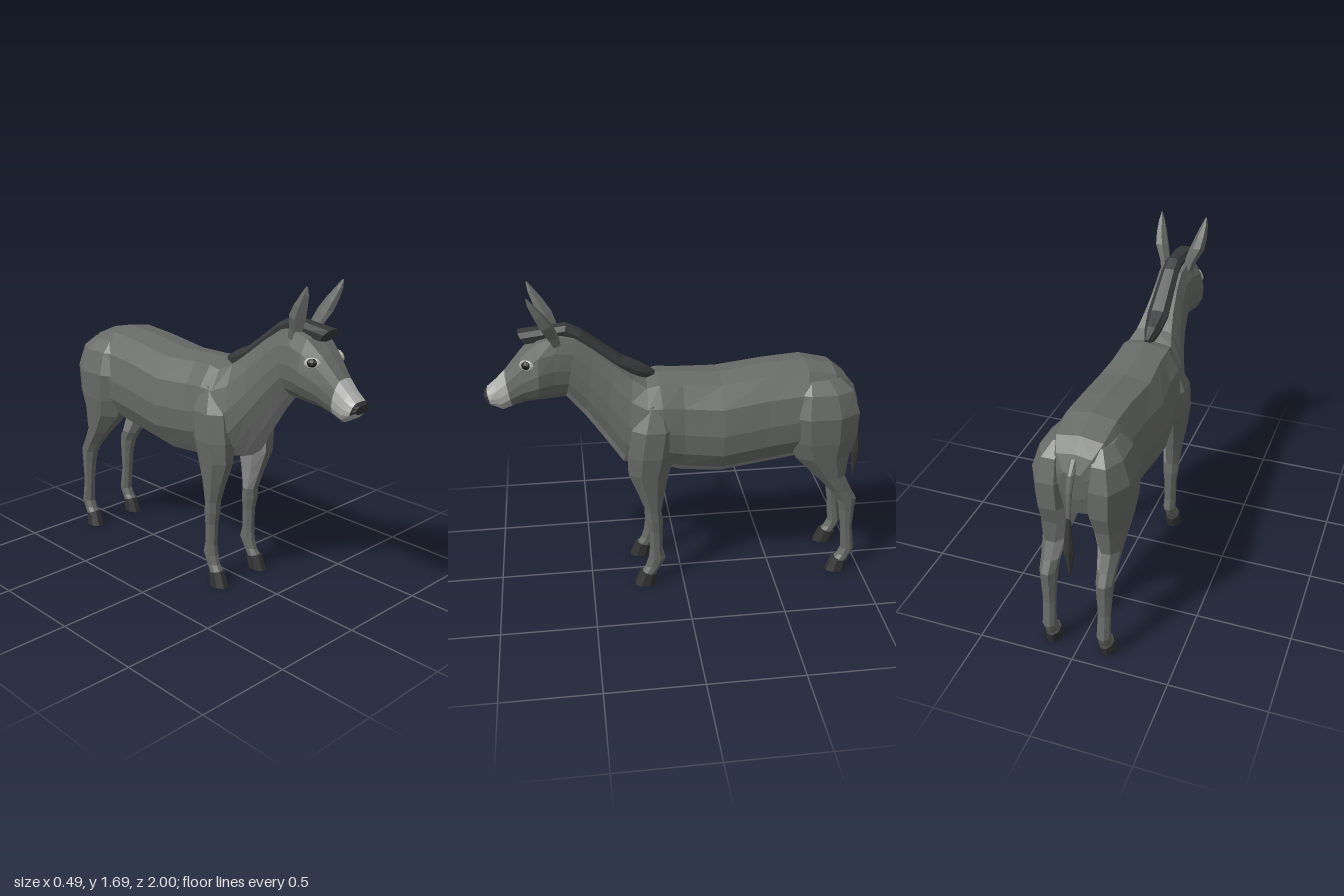
import * as THREE from 'three';

const mat = (name, color) => {
  const m = new THREE.MeshStandardMaterial({ color, flatShading: true });
  m.name = name;
  return m;
};

// Skins a list of closed rings, caps both ends; pick(i, j) chooses the material of each face (j = -1 on caps)
function loft(name, rings, mats, pick = () => 0) {
  const buckets = mats.map(() => []);
  const n = rings[0].length, last = rings.length - 1;
  for (let i = 0; i < last; i++) for (let j = 0; j < n; j++) {
    const k = (j + 1) % n, a = rings[i][j], b = rings[i][k], c = rings[i + 1][k], d = rings[i + 1][j];
    buckets[pick(i, j)].push([a, b, c], [a, c, d]);
  }
  for (const i of [0, last]) {
    const r = rings[i], mid = new THREE.Vector3();
    r.forEach(p => mid.addScaledVector(p, 1 / n));
    for (let j = 0; j < n; j++) {
      const k = (j + 1) % n;
      buckets[pick(i, -1)].push(i ? [r[j], r[k], mid] : [r[k], r[j], mid]);
    }
  }
  // turn every face outward using the signed volume
  const cross = new THREE.Vector3();
  let volume = 0;
  buckets.flat().forEach(([a, b, c]) => { volume += a.dot(cross.crossVectors(b, c)); });
  const geo = new THREE.BufferGeometry(), pos = [];
  buckets.forEach((tris, m) => {
    const start = pos.length / 3;
    tris.forEach(([a, b, c]) => (volume > 0 ? [a, b, c] : [a, c, b]).forEach(p => pos.push(p.x, p.y, p.z)));
    if (tris.length) geo.addGroup(start, tris.length * 3, m);
  });
  geo.setAttribute('position', new THREE.Float32BufferAttribute(pos, 3));
  geo.computeVertexNormals();
  const mesh = new THREE.Mesh(geo, mats.length > 1 ? mats : mats[0]);
  mesh.name = name;
  return mesh;
}

// Upright ring between a top and a bottom point: [zTop, yTop, zBottom, yBottom, halfWidth]
function uprightRing([zt, yt, zb, yb, w], half) {
  const at = ([x, v], s) => new THREE.Vector3(s * x * w,
    (yt + yb) / 2 + v * (yt - yb) / 2, (zt + zb) / 2 + v * (zt - zb) / 2);
  return [...half.map(p => at(p, 1)), ...half.slice(1, -1).reverse().map(p => at(p, -1))];
}

// Level eight-sided ring: [y, zFront, zBack, xInner, xOuter, frontDrop]
function levelRing([y, zf, zb, xi, xo, drop = 0], side) {
  return Array.from({ length: 8 }, (_, j) => {
    const a = (j + 0.5) * Math.PI / 4, k = 1 / Math.cos(Math.PI / 8);
    const u = Math.cos(a) * k, v = Math.sin(a) * k;
    return new THREE.Vector3(side * ((xi + xo) / 2 + u * (xo - xi) / 2),
      y - drop * v, (zf + zb) / 2 + v * (zf - zb) / 2);
  });
}

export function createModel() {
  const model = new THREE.Group();
  model.name = 'donkey';
  const coat = mat('greyCoat', 0x686b67);
  const pale = mat('paleUnderside', 0x898a89);
  const muzzle = mat('lightMuzzle', 0xafafae);
  const dark = mat('darkHair', 0x373839);
  const horn = mat('hoofAndNose', 0x323232);
  const eyeBlack = mat('eyeBlack', 0x151515);

  // Body, neck and head in one skin from rump to nose
  const section = [[0, 1], [0.58, 0.92], [0.87, 0.52], [1, 0.02], [0.96, -0.4], [0.76, -0.72], [0.4, -0.96], [0, -1]];
  const body = [
    [-0.905, 1.08, -0.89, 0.92, 0.07],
    [-0.87, 1.16, -0.87, 0.83, 0.15],
    [-0.8, 1.215, -0.78, 0.76, 0.2],
    [-0.65, 1.25, -0.62, 0.71, 0.215],
    [-0.45, 1.235, -0.42, 0.68, 0.215],
    [-0.2, 1.2, -0.2, 0.65, 0.227],
    [0, 1.21, 0, 0.665, 0.203],
    [0.12, 1.215, 0.08, 0.69, 0.21],
    [0.18, 1.2, 0.2, 0.71, 0.2],
    [0.25, 1.24, 0.31, 0.73, 0.165],
    [0.34, 1.31, 0.41, 0.88, 0.13],
    [0.44, 1.39, 0.5, 1.01, 0.108],
    [0.53, 1.45, 0.59, 1.12, 0.1],
    [0.62, 1.47, 0.66, 1.115, 0.115],
    [0.72, 1.445, 0.72, 1.115, 0.135],
    [0.805, 1.365, 0.79, 1.105, 0.103],
    [0.89, 1.265, 0.86, 1.08, 0.073],
    [0.94, 1.215, 0.91, 1.06, 0.062],
    [0.985, 1.175, 0.965, 1.09, 0.062],
    [1.0, 1.16, 0.99, 1.115, 0.046],
  ];
  model.add(loft('bodyNeckHead', body.map(r => uprightRing(r, section)), [coat, pale, muzzle, horn], (i, j) => {
    const under = j >= 5 && j <= 8;
    if (i >= 18) return j >= 4 && j <= 9 ? 2 : 3;
    if (i >= 16) return 2;
    return under && i >= 1 && i <= 11 ? 1 : 0;
  }));

  // Mane with forelock
  const crest = [[0, 1], [0.55, 0.92], [1, 0.3], [0.9, -0.7], [0, -1]];
  const mane = [
    [0.13, 1.225, 0.15, 1.17, 0.015],
    [0.2, 1.27, 0.23, 1.18, 0.04],
    [0.3, 1.315, 0.33, 1.24, 0.058],
    [0.41, 1.4, 0.45, 1.34, 0.052],
    [0.5, 1.47, 0.53, 1.41, 0.047],
    [0.57, 1.505, 0.59, 1.43, 0.045],
    [0.7, 1.49, 0.69, 1.42, 0.05],
    [0.81, 1.478, 0.77, 1.415, 0.057],
  ];
  model.add(loft('mane', mane.map(r => uprightRing(r, crest)), [dark]));

  // Tail and its tuft
  const tail = [[1.14, -0.84, -0.88, 0.02], [1.08, -0.9, -0.93, 0.018], [1.0, -0.93, -0.955, 0.014],
    [0.9, -0.95, -0.967, 0.011], [0.82, -0.957, -0.975, 0.011]];
  const tuft = [[0.87, -0.953, -0.97, 0.01], [0.79, -0.95, -0.985, 0.016], [0.68, -0.945, -0.998, 0.024],
    [0.62, -0.955, -0.99, 0.018], [0.53, -0.968, -0.974, 0.003]];
  const strand = list => list.map(([y, zf, zb, w]) => levelRing([y, zf, zb, -w, w], 1));
  model.add(loft('tail', strand(tail), [coat]), loft('tailTuft', strand(tuft), [dark]));

  const frontLeg = [
    [1.1, 0.2, 0.08, 0.06, 0.17],
    [0.97, 0.27, 0.03, 0.06, 0.222],
    [0.82, 0.29, 0.05, 0.07, 0.225],
    [0.71, 0.29, 0.08, 0.085, 0.21],
    [0.58, 0.24, 0.105, 0.095, 0.193],
    [0.47, 0.202, 0.12, 0.098, 0.182],
    [0.41, 0.2, 0.113, 0.1, 0.18],
    [0.34, 0.185, 0.115, 0.108, 0.172],
    [0.22, 0.183, 0.115, 0.11, 0.17],
    [0.16, 0.19, 0.1, 0.108, 0.17],
    [0.11, 0.205, 0.125, 0.113, 0.168],
    [0.07, 0.232, 0.155, 0.112, 0.175],
  ];
  const hindLeg = [
    [1.18, -0.59, -0.82, 0.05, 0.15],
    [1.12, -0.555, -0.885, 0.04, 0.205],
    [1.0, -0.53, -0.92, 0.02, 0.243],
    [0.85, -0.55, -0.915, 0.02, 0.235],
    [0.75, -0.595, -0.885, 0.045, 0.22],
    [0.62, -0.72, -0.872, 0.085, 0.2],
    [0.53, -0.8, -0.915, 0.1, 0.19],
    [0.47, -0.84, -0.948, 0.105, 0.187],
    [0.4, -0.862, -0.943, 0.108, 0.182],
    [0.28, -0.88, -0.94, 0.115, 0.175],
    [0.14, -0.893, -0.962, 0.112, 0.177],
    [0.1, -0.875, -0.945, 0.113, 0.176],
    [0.07, -0.85, -0.925, 0.112, 0.18],
  ];
  const earRings = [ // [x, y, z, halfWidth, halfDepth]
    [0.062, 1.4, 0.615, 0.022, 0.025],
    [0.072, 1.46, 0.64, 0.03, 0.032],
    [0.1, 1.53, 0.672, 0.038, 0.038],
    [0.113, 1.59, 0.704, 0.03, 0.03],
    [0.122, 1.645, 0.735, 0.017, 0.018],
    [0.126, 1.685, 0.752, 0.003, 0.004],
  ];

  for (const side of [1, -1]) {
    const label = side > 0 ? 'left' : 'right';
    // Legs: pale on the inner upper faces
    const inner = (lo, hi) => (i, j) => (i >= lo && i < hi && (j === 3 || j === 2 || j === 4) ? 1 : 0);
    model.add(loft(label + 'FrontLeg', frontLeg.map(r => levelRing(r, side)), [coat, pale], inner(2, 5)));
    model.add(loft(label + 'HindLeg', hindLeg.map(r => levelRing(r, side)), [coat, pale], inner(3, 6)));

    // Hooves
    const hoof = (name, z) => loft(label + name, [
      levelRing([0.072, z + 0.065, z - 0.025, 0.108, 0.178, -0.012], side),
      levelRing([0.0, z + 0.098, z - 0.012, 0.107, 0.187], side)], [horn]);
    model.add(hoof('FrontHoof', 0.172), hoof('HindHoof', -0.91));

    // Ears: flat face forward and outward, rounded back
    const ear = earRings.map(([x, y, z, w, d]) =>
      [[1, 0.5], [0.15, 0.1], [-0.85, 0.75], [-1, -0.1], [-0.3, -0.9], [0.65, -0.7]].map(([u, v]) =>
        new THREE.Vector3(side * (x + u * w), y - v * d * 0.35, z + v * d)));
    model.add(loft(label + 'Ear', ear, [coat, pale], (i, j) => (j === 0 || j === 1 ? 1 : 0)));

    // Eye with pale rim
    const eye = new THREE.Group();
    eye.name = label + 'Eye';
    const disc = (name, m, rx, ry, depth, out) => {
      const mesh = new THREE.Mesh(new THREE.SphereGeometry(1, 10, 6), m);
      mesh.name = name;
      mesh.scale.set(rx, ry, depth);
      mesh.position.z = out;
      eye.add(mesh);
    };
    disc('eyeRim', muzzle, 0.04, 0.027, 0.012, 0);
    disc('eyeball', eyeBlack, 0.026, 0.021, 0.012, 0.006);
    eye.position.set(side * 0.101, 1.332, 0.775);
    eye.lookAt(side * (0.101 + 0.8), 1.332 + 0.3, 0.775 + 0.42);
    model.add(eye);
  }
  return model;
}
